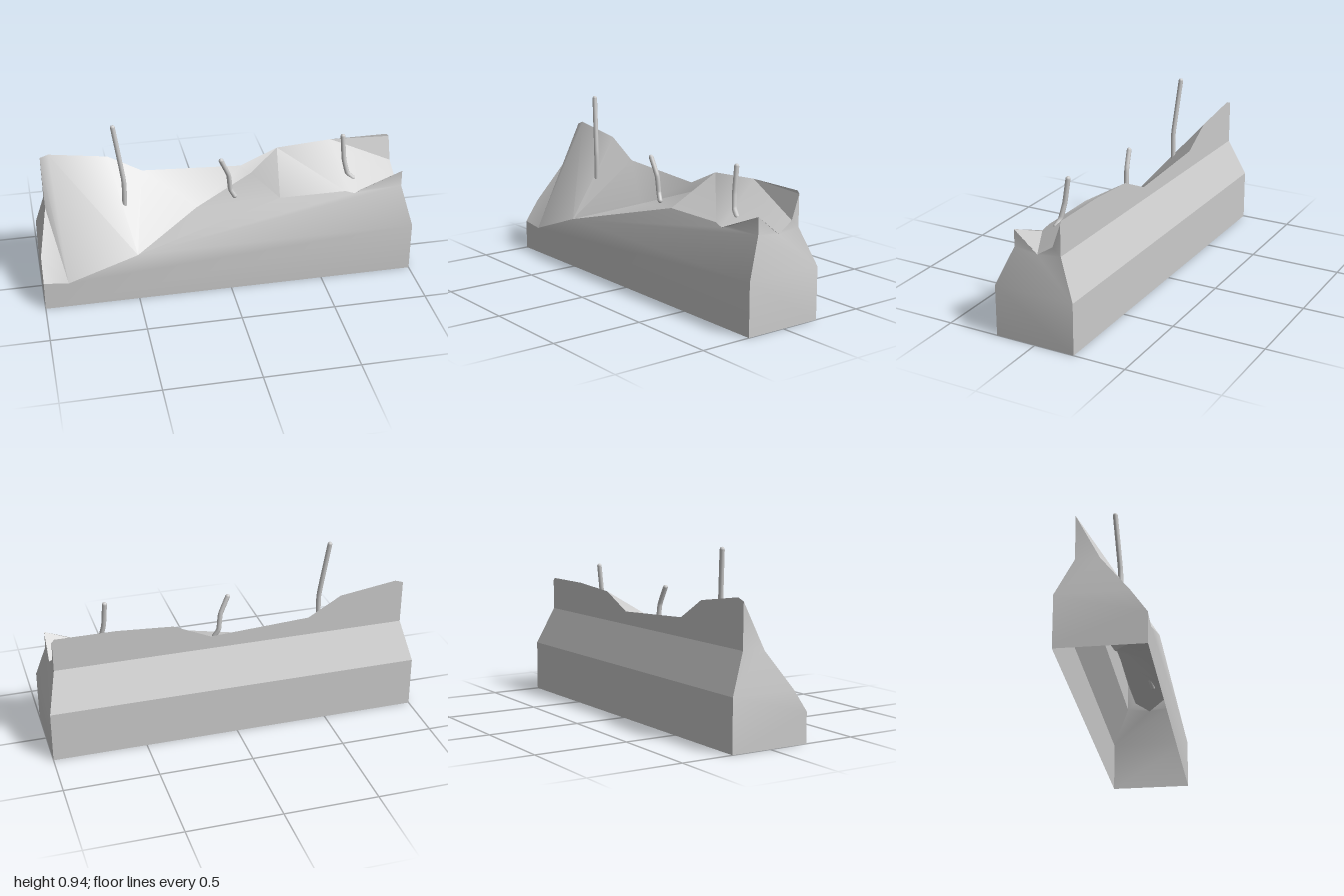
import * as THREE from 'three';
import { toCreasedNormals } from 'three/addons/utils/BufferGeometryUtils.js';

const material = new THREE.MeshStandardMaterial({ color: 0xcccccc, side: THREE.DoubleSide });

// Triangulates flat polygons, each turned to face the given outward direction.
function panels(name, outward, polygons, crease) {
  const out = new THREE.Vector3(...outward);
  const positions = [];
  for (const polygon of polygons) {
    const pts = polygon.map((p) => new THREE.Vector3(...p));
    const flat = pts.map((p) => new THREE.Vector2(out.x ? p.z : p.x, out.y ? p.z : p.y));
    for (const [i, j, k] of THREE.ShapeUtils.triangulateShape(flat, [])) {
      const [a, b, c] = [pts[i], pts[j], pts[k]];
      const normal = b.clone().sub(a).cross(c.clone().sub(a));
      const tri = normal.dot(out) < 0 ? [a, c, b] : [a, b, c];
      tri.forEach((p) => positions.push(p.x, p.y, p.z));
    }
  }
  const geometry = new THREE.BufferGeometry();
  geometry.setAttribute('position', new THREE.Float32BufferAttribute(positions, 3));
  const mesh = new THREE.Mesh(toCreasedNormals(geometry, crease), material);
  mesh.name = name;
  return mesh;
}

// Bent bar with rounded ends
function bar(name, points) {
  const radius = 0.013;
  const path = points.map((p) => new THREE.Vector3(...p));
  const curve = new THREE.CatmullRomCurve3(path, false, 'catmullrom', 0.2);
  const group = new THREE.Group();
  group.name = name;
  group.add(new THREE.Mesh(new THREE.TubeGeometry(curve, 18, radius, 10), material));
  for (const end of [path[0], path[path.length - 1]]) {
    const cap = new THREE.Mesh(new THREE.SphereGeometry(radius, 10, 8), material);
    cap.position.copy(end);
    group.add(cap);
  }
  return group;
}

export function createModel() {
  const model = new THREE.Group();
  model.name = 'brokenBarrier';

  // Heights and half depths of the barrier section
  const low = 0.275, high = 0.48, wide = 0.22, slim = 0.13, end = 0.952;

  // Broken rim: front edge, right end, back edge, left end
  const F = [[-1, 0.16, wide], [-0.87, 0.145, wide], [-0.5, low, wide], [0.28, high, slim],
    [0.64, high, slim], [0.69, 0.465, 0.137], [end, 0.57, slim]];
  const frontNotch = [0.725, high, slim];
  const R = [[0.955, 0.465, 0], [end, 0.52, -0.085], [end, 0.645, -slim]];
  const endNotch = [[end, high, 0.018], [end, high, -0.023]];
  const B = [[-0.955, 0.715], [-0.91, 0.73], [-0.6, 0.685], [-0.42, 0.58], [0.12, 0.55],
    [0.32, 0.64], [0.62, 0.66], [0.94, 0.66]].map(([x, y]) => [x, y, -slim]);
  const L = [[-1, low, 0.14], [-end, high, -0.01]];
  // Hollow in the broken top
  const P = [-0.15, 0.4, 0.01];
  const Q = [0.17, 0.515, -0.1];

  // Corners of the section
  const foot = (x, z) => [x, 0, z * wide];
  const shoulder = (x, z) => [x, low, z * wide];
  const neck = (x, z) => [x * end, high, z * slim];

  model.add(panels('frontWall', [0, 0, 1], [
    [foot(-1, 1), foot(1, 1), shoulder(1, 1), F[2], F[1], F[0]],
    [F[2], shoulder(1, 1), neck(1, 1), frontNotch, F[5], F[4], F[3]],
    [frontNotch, neck(1, 1), F[6]],
  ], 0.6));

  model.add(panels('backWall', [0, 0, -1], [
    [foot(-1, -1), foot(1, -1), shoulder(1, -1), shoulder(-1, -1)],
    [shoulder(-1, -1), shoulder(1, -1), neck(1, -1), neck(-1, -1)],
    [neck(-1, -1), neck(1, -1), R[2], ...B.slice().reverse()],
  ], 0.3));

  model.add(panels('rightEnd', [1, 0, 0], [
    [foot(1, 1), foot(1, -1), shoulder(1, -1), shoulder(1, 1)],
    [shoulder(1, 1), shoulder(1, -1), neck(1, -1), endNotch[1], R[0], endNotch[0], neck(1, 1)],
    [neck(1, 1), endNotch[0], F[6]],
    [endNotch[1], neck(1, -1), R[2], R[1]],
  ], 0.4));

  model.add(panels('leftEnd', [-1, 0, 0], [
    [foot(-1, 1), foot(-1, -1), shoulder(-1, -1), L[0], F[0]],
    [shoulder(-1, -1), L[0], L[1], neck(-1, -1)],
    [neck(-1, -1), L[1], B[0]],
  ], 0.4));

  // Fractured top, fanned between the rim and the hollow
  model.add(panels('brokenTop', [0, 1, 0], [
    [L[0], F[0], F[1]], [L[0], F[1], L[1]], [L[1], F[1], B[0]], [B[0], F[1], B[1]],
    [B[1], F[1], F[2]], [B[1], F[2], B[2]], [B[2], F[2], B[3]], [B[3], F[2], P],
    [B[3], P, B[4]], [B[4], P, Q], [B[4], Q, B[5]],
    [P, F[2], F[3]], [P, F[3], Q], [Q, F[3], B[5]],
    [B[5], F[3], F[4]], [B[5], F[4], B[6]], [B[6], F[4], F[5]], [B[6], F[5], R[0]],
    [B[6], R[0], R[1]], [B[6], R[1], R[2]], [F[5], F[6], R[0]],
  ], 0.55));

  // Exposed reinforcing bars
  model.add(bar('leftBar', [[-0.58, 0.927, 0.008], [-0.537, 0.62, 0.03], [-0.537, 0.45, 0.03], [-0.508, 0.415, 0.045]]));
  model.add(bar('middleBar', [[-0.02, 0.685, 0.033], [0.022, 0.59, 0.025], [0.033, 0.5, 0.022], [0.055, 0.46, 0.03]]));
  model.add(bar('rightBar', [[0.648, 0.748, 0.008], [0.655, 0.62, 0.025], [0.673, 0.54, 0.04], [0.703, 0.51, 0.05]]));

  return model;
}
